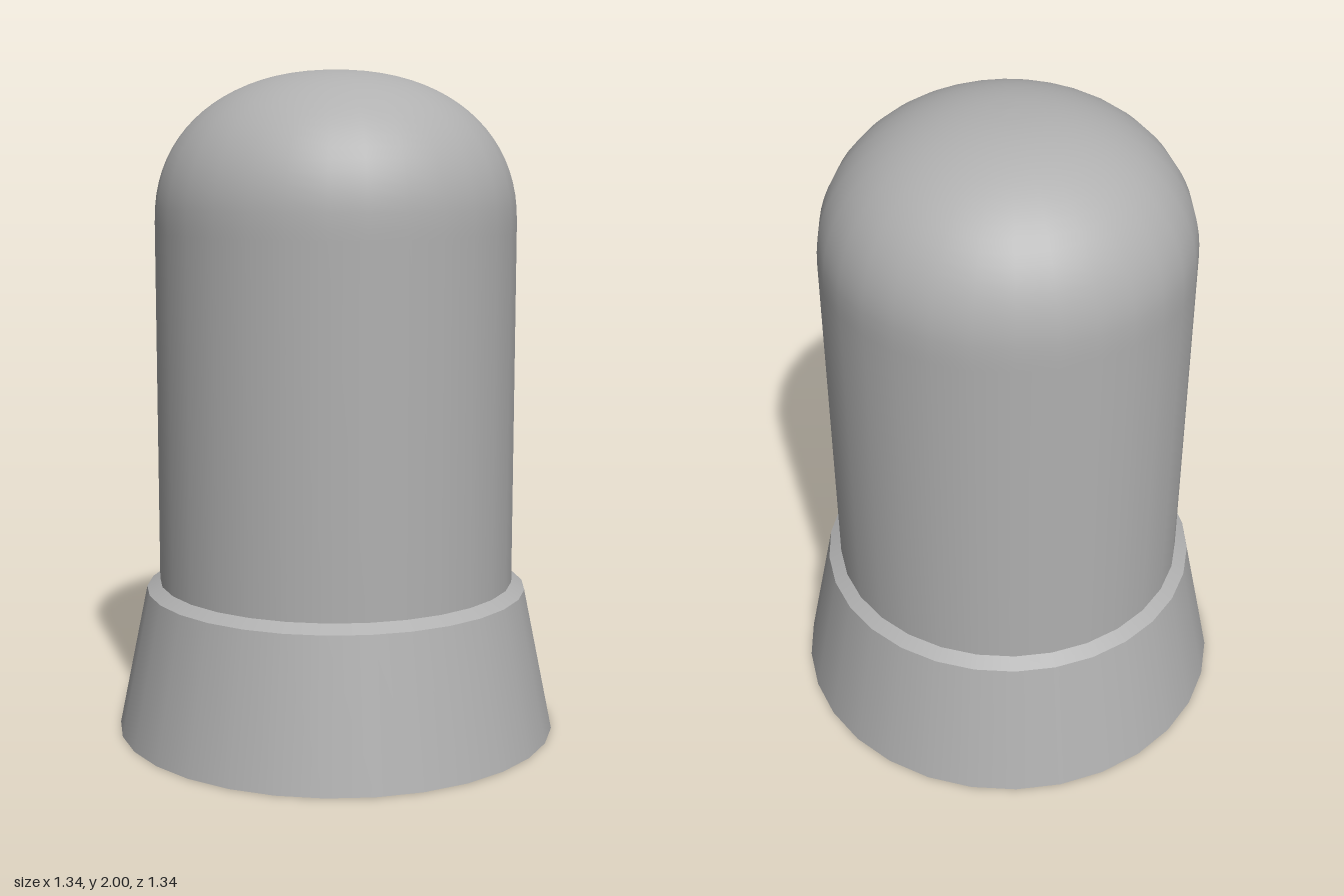
import * as THREE from 'three';

const SIDES = 30;

export function createModel() {
  const model = new THREE.Group();
  const grey = new THREE.MeshStandardMaterial({ color: 0xb0b0b0 });
  grey.name = 'grey';

  // Adds a surface of revolution from [radius, height] pairs, bottom to top
  const addLathe = (name, profile) => {
    const points = profile.map(([r, y]) => new THREE.Vector2(r, y));
    const mesh = new THREE.Mesh(new THREE.LatheGeometry(points, SIDES, Math.PI / 2), grey);
    mesh.name = name;
    model.add(mesh);
  };

  // Tapered base with a crisp bevelled rim and a closed underside
  addLathe('underside', [[0, 0], [0.672, 0]]);
  addLathe('taperedBase', [[0.672, 0], [0.583, 0.435]]);
  addLathe('bevelledRim', [[0.583, 0.435], [0.543, 0.458]]);

  // Straight body flowing smoothly into a slightly squared dome
  const radius = 0.543, shoulder = 1.55, rise = 0.45, steps = 20;
  const body = [[radius, 0.458], [radius, shoulder - 0.03]];
  for (let i = 0; i < steps; i++) {
    const a = (i / steps) * Math.PI / 2;
    body.push([
      radius * Math.cos(a) ** (2 / 2.2),
      shoulder + rise * Math.sin(a) ** (2 / 2.2),
    ]);
  }
  body.push([0, shoulder + rise]);
  addLathe('domedBody', body);

  return model;
}
